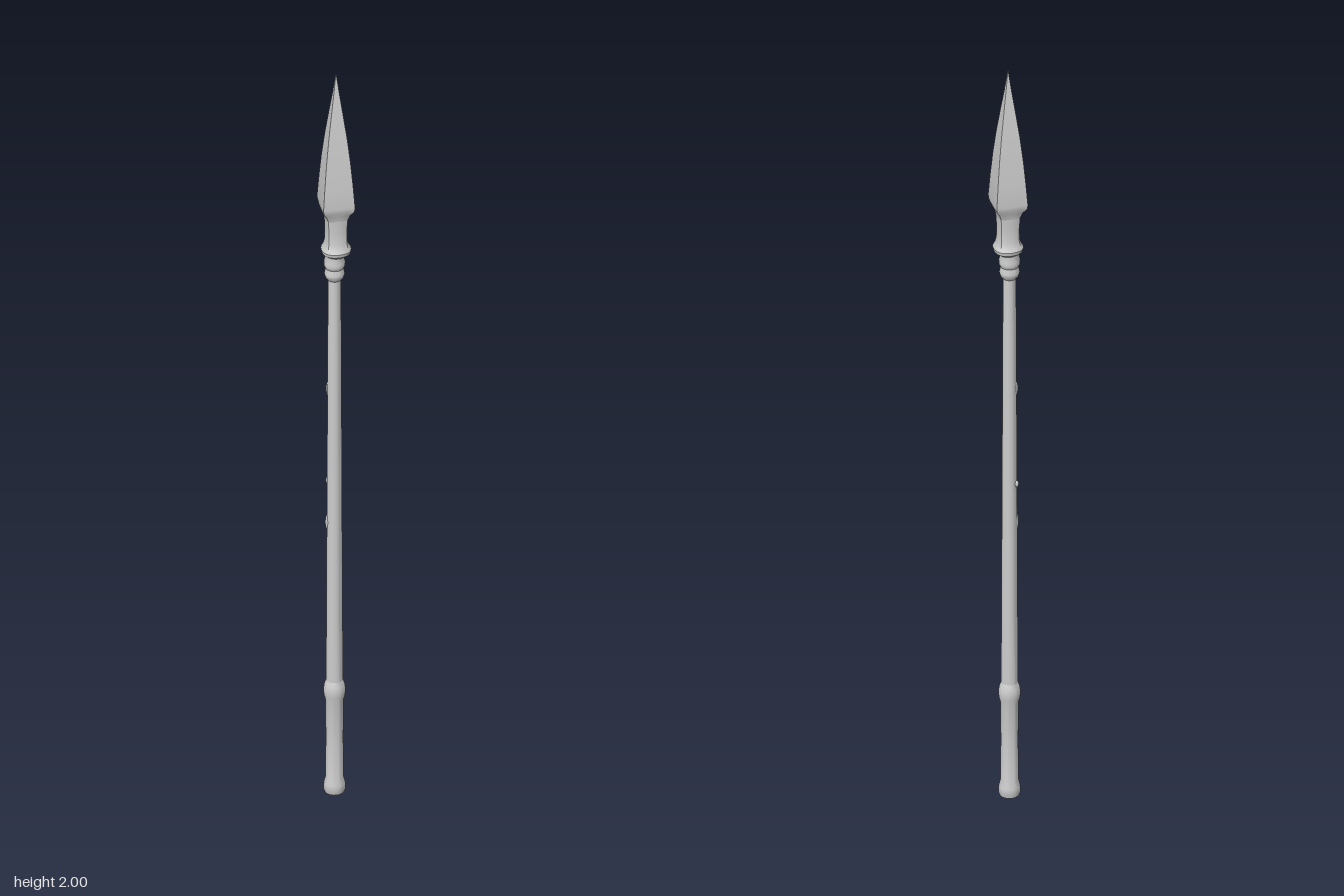
import * as THREE from 'three';
import { toCreasedNormals } from 'three/addons/utils/BufferGeometryUtils.js';

const material = new THREE.MeshStandardMaterial({ color: 0xcccccc });

// Lofts rings [y, radius, power] upward: power 1 is a diamond, power 2 a circle.
function loft(name, rings, segments = 24, crease = 0.5) {
  const profile = rings.map(([y, r]) => new THREE.Vector2(r, y));
  const geometry = new THREE.LatheGeometry(profile, segments);
  const pos = geometry.attributes.position;
  for (let i = 0; i < pos.count; i++) {
    const power = rings[i % rings.length][2] ?? 2;
    const angle = (Math.floor(i / rings.length) / segments) * Math.PI * 2;
    const s = Math.abs(Math.sin(angle)), c = Math.abs(Math.cos(angle));
    const k = 1 / Math.pow(s ** power + c ** power, 1 / power);
    pos.setX(i, pos.getX(i) * k);
    pos.setZ(i, pos.getZ(i) * k);
  }
  const mesh = new THREE.Mesh(toCreasedNormals(geometry, crease), material);
  mesh.name = name;
  return mesh;
}

export function createModel() {
  const spear = new THREE.Group();
  spear.name = 'spear';

  // Four-edged blade, its ridges on the x and z axes
  spear.add(loft('blade', [
    [1.6, 0.034, 1.3], [1.615, 0.041, 1.12], [1.628, 0.053, 1.03],
    [1.64, 0.055, 1.03], [1.7, 0.049, 1], [1.76, 0.042, 1],
    [1.82, 0.033, 1], [1.88, 0.022, 1], [1.94, 0.0105, 1], [2, 0, 1],
  ], 24, 0.6));

  // Waisted socket with a flared collar
  spear.add(loft('socket', [
    [1.495, 0.026], [1.503, 0.037, 1.7], [1.512, 0.039, 1.7],
    [1.522, 0.034, 1.6], [1.535, 0.031, 1.5], [1.57, 0.031, 1.4],
    [1.602, 0.034, 1.3],
  ]));

  const pole = new THREE.Group();
  pole.name = 'pole';
  pole.position.set(-0.003, 0, 0.002);
  spear.add(pole);

  // Banded binding below the socket
  pole.add(loft('binding', [
    [1.425, 0.016], [1.432, 0.022], [1.442, 0.025], [1.452, 0.023],
    [1.458, 0.022], [1.466, 0.026], [1.476, 0.026], [1.484, 0.024],
    [1.5, 0.026],
  ]));

  // Slightly tapered shaft
  pole.add(loft('shaft', [
    [0.25, 0.021], [0.5, 0.02], [0.72, 0.019], [0.95, 0.018],
    [1.2, 0.017], [1.44, 0.016],
  ], 16));

  // Butt sleeve with a ring at the top and a flared foot
  pole.add(loft('buttSleeve', [
    [0, 0], [0, 0.024], [0.008, 0.027], [0.025, 0.026], [0.04, 0.022],
    [0.15, 0.021], [0.255, 0.022], [0.27, 0.026], [0.285, 0.027],
    [0.298, 0.025], [0.312, 0.02],
  ]));

  // Small knots in the wood
  const knotGeometry = new THREE.SphereGeometry(1, 10, 8);
  for (const [x, y, z, height] of [
    [-0.018, 0.86, 0.002, 0.009], [-0.012, 0.75, 0.012, 0.022], [-0.013, 1.12, 0.007, 0.02],
  ]) {
    const knot = new THREE.Mesh(knotGeometry, material);
    knot.name = 'knot';
    knot.position.set(x, y, z);
    knot.scale.set(0.006, height, 0.006);
    pole.add(knot);
  }

  return spear;
}
